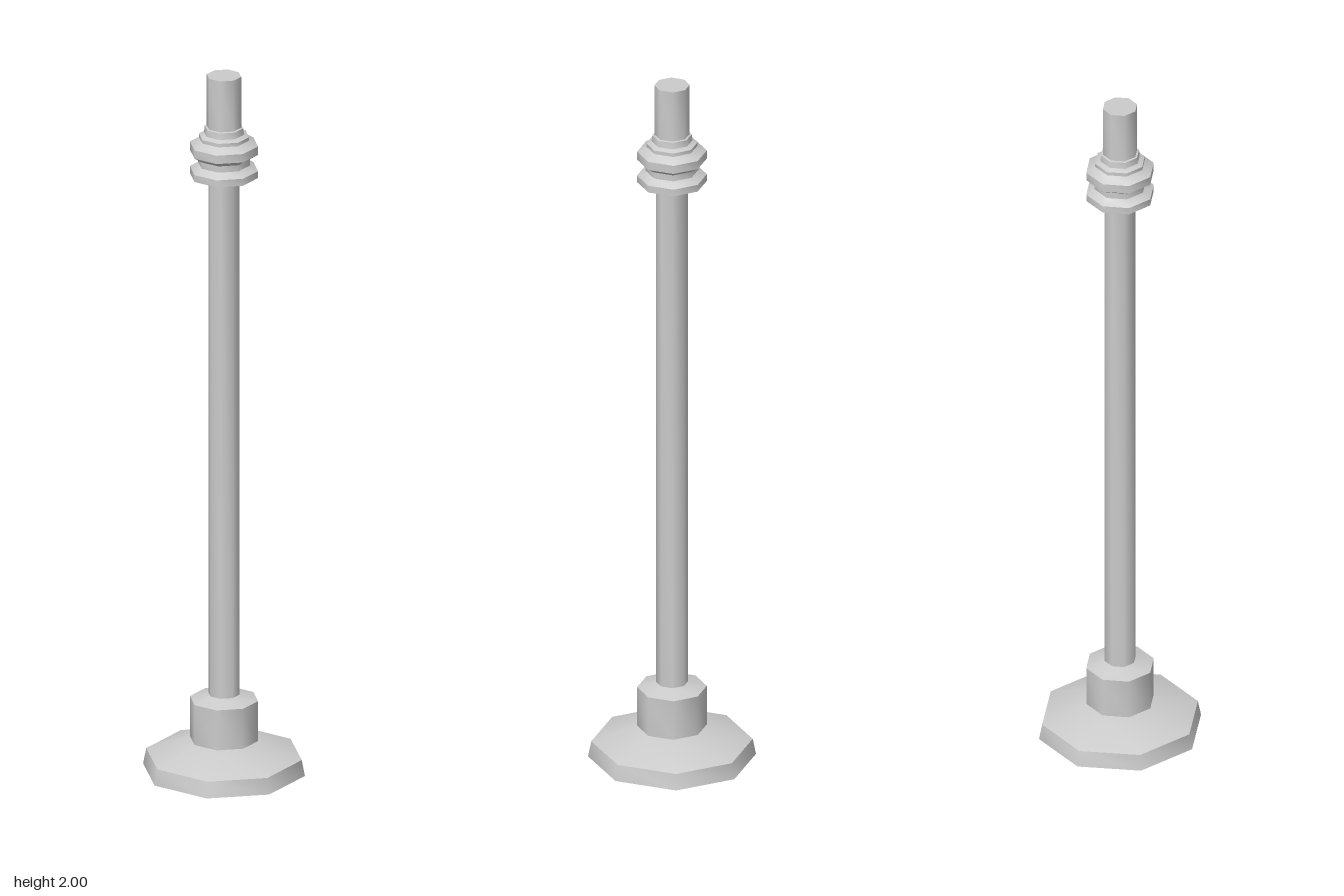
import * as THREE from 'three';
import { toCreasedNormals } from 'three/addons/utils/BufferGeometryUtils.js';

const SIDES = 8;
const FLAT = Math.cos(Math.PI / SIDES); // apothem to corner radius ratio
const material = new THREE.MeshStandardMaterial({ color: 0xcccccc });

// Octagonal turned part; the profile lists [half width across flats, height] from bottom to top
function turned(name, profile, depth = 1) {
  const points = profile.map(([r, y]) => new THREE.Vector2(r / FLAT, y));
  const lathe = new THREE.LatheGeometry(points, SIDES, Math.PI / SIDES);
  lathe.scale(1, 1, depth);
  const mesh = new THREE.Mesh(toCreasedNormals(lathe, THREE.MathUtils.degToRad(50)), material);
  mesh.name = name;
  return mesh;
}

export function createModel() {
  const post = new THREE.Group();
  post.name = 'post';

  // Wide foot with a bevelled rim and sloping top
  post.add(turned('foot', [[0, 0], [0.206, 0], [0.198, 0.045], [0.087, 0.09], [0, 0.09]], 1.02));

  // Socket that holds the shaft
  post.add(turned('socket', [[0.087, 0.085], [0.087, 0.205], [0.04, 0.22]]));

  // Long plain shaft
  post.add(turned('shaft', [[0.04, 0.2], [0.04, 1.72]]));

  // Double ring collar with a waist and a stepped shoulder
  post.add(turned('collar', [
    [0.038, 1.695], [0.087, 1.712], [0.087, 1.732], [0.066, 1.746], [0.066, 1.764],
    [0.087, 1.779], [0.087, 1.803], [0.064, 1.818], [0.064, 1.828], [0.051, 1.834],
    [0.049, 1.852], [0.042, 1.854],
  ]));

  // Closed pin at the top
  post.add(turned('topPin', [[0.044, 1.84], [0.044, 2], [0, 2]]));

  return post;
}
